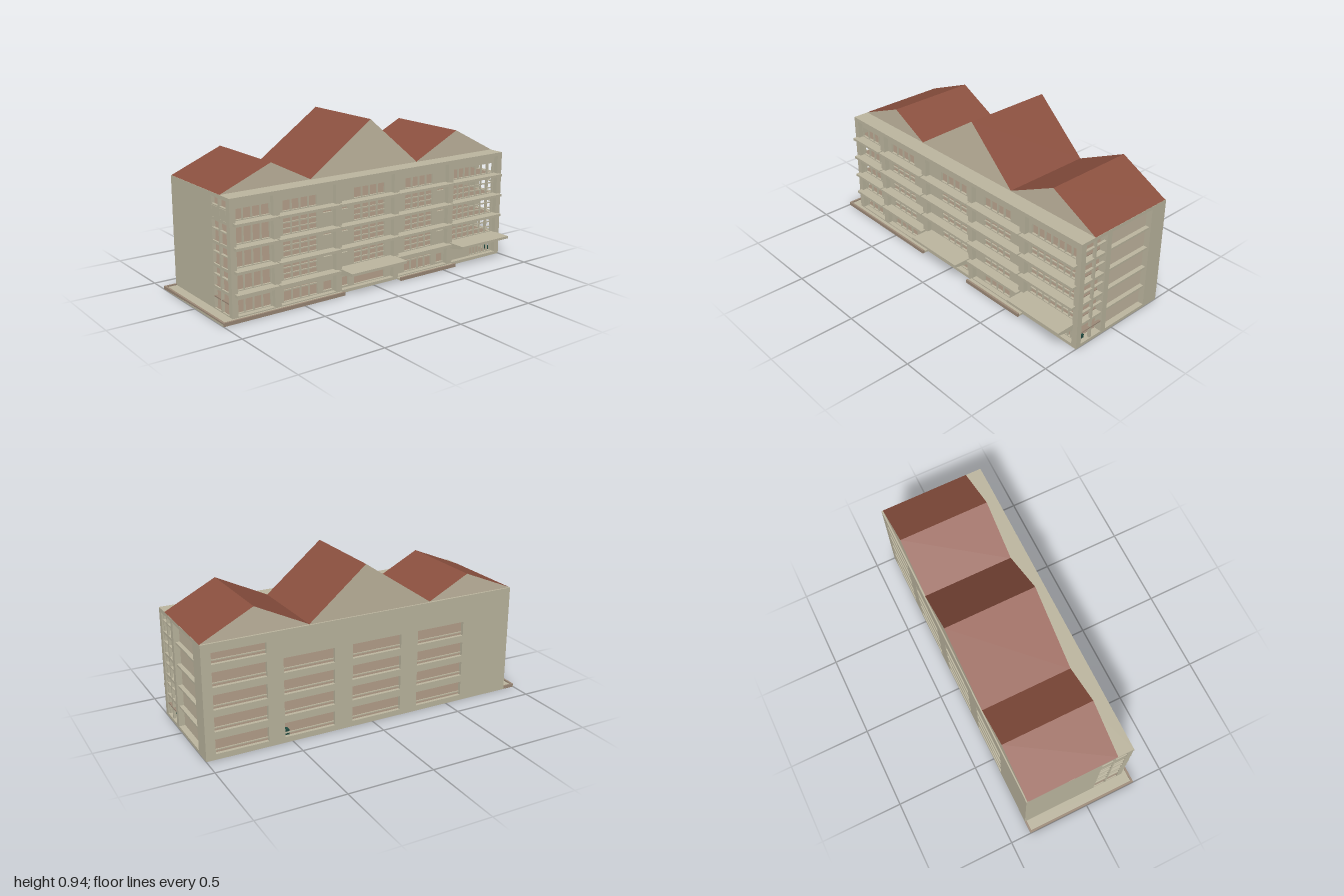
import * as THREE from 'three';

const mat = (name, color, side = THREE.FrontSide) => {
  const m = new THREE.MeshStandardMaterial({ color, side });
  m.name = name;
  return m;
};

export function createModel() {
  const model = new THREE.Group();
  model.name = 'terracedBuilding';
  const stone = mat('stone', 0xbdb7a0);
  const plaster = mat('plaster', 0xc3b8a1, THREE.DoubleSide);
  const tile = mat('roofTile', 0x8b503f, THREE.DoubleSide);
  const wood = mat('woodFloor', 0x9d8a78);
  const green = mat('darkGreen', 0x1f4a40);

  const add = (name, geo, m, parent = model) => {
    const mesh = new THREE.Mesh(geo, m);
    mesh.name = name;
    parent.add(mesh);
    return mesh;
  };
  const group = (name) => {
    const g = new THREE.Group();
    g.name = name;
    model.add(g);
    return g;
  };
  // Box given by its two extents on each axis
  const box = (name, x0, x1, y0, y1, z0, z1, m = stone, parent = model) => {
    const g = new THREE.BoxGeometry(x1 - x0, y1 - y0, z1 - z0);
    g.translate((x0 + x1) / 2, (y0 + y1) / 2, (z0 + z1) / 2);
    return add(name, g, m, parent);
  };
  // Upright wall in the xy plane with rectangular holes [x0, x1, y0, y1]
  const wall = (name, x0, x1, y0, y1, z0, z1, holes, parent = model) => {
    const rect = (C, a, b, c, d) => {
      const p = new C();
      p.moveTo(a, c); p.lineTo(b, c); p.lineTo(b, d); p.lineTo(a, d); p.closePath();
      return p;
    };
    const s = rect(THREE.Shape, x0, x1, y0, y1);
    s.holes = holes.map((h) => rect(THREE.Path, ...h));
    const g = new THREE.ExtrudeGeometry(s, { depth: z1 - z0, bevelEnabled: false });
    g.translate(0, 0, z0);
    return add(name, g, stone, parent);
  };

  const L = -0.925, R = 1, BACK = -0.375, TOP = 0.655;
  const floors = [0.018, 0.145, 0.27, 0.397, 0.525];
  // Front bays: extents, main window extents, pane count, small side windows
  const bays = [
    { x: [-0.89, -0.665], w: [-0.885, -0.67], n: 3, s: [] },
    { x: [-0.625, -0.265], w: [-0.59, -0.37], n: 3, s: [[-0.33, -0.27]] },
    { x: [-0.225, 0.145], w: [-0.12, 0.1], n: 3, s: [[-0.215, -0.16]] },
    { x: [0.18, 0.56], w: [0.25, 0.46], n: 3, s: [[0.5, 0.555]] },
    { x: [0.6, 0.965], w: [0.62, 0.955], n: 6, s: [] },
  ];

  // Foundation, side yard and front terraces with raised curbs
  const base = group('base');
  box('foundation', L, R, 0, 0.018, BACK, 0.275, stone, base);
  box('sideYard', -1, L, 0, 0.012, BACK, 0.31, stone, base);
  box('sideCurb', -1, -0.988, 0, 0.02, BACK, 0.315, wood, base);
  box('backCurb', -0.988, L, 0, 0.02, BACK, -0.365, wood, base);
  for (const [a, b] of [[-0.988, -0.23], [0.17, 0.6]]) {
    box('terrace', a, b, 0, 0.012, 0.275, 0.305, stone, base);
    box('terraceCurb', a, b, 0, 0.02, 0.303, 0.315, wood, base);
  }

  // Interior floors with wooden boards
  const inside = group('floors');
  floors.forEach((y, i) => {
    if (i) box('slab', L + 0.01, R - 0.01, y - 0.015, y - 0.003, BACK + 0.02, 0.24, stone, inside);
    box('boards', L + 0.01, R - 0.045, y - 0.003, y + 0.001, BACK + 0.02, 0.24, wood, inside);
  });
  box('roofDeck', L, R, 0.635, TOP, BACK, 0.275);

  // Front facade: recessed wall with windows
  const front = group('frontFacade');
  const holes = [];
  floors.forEach((y, f) => {
    bays.forEach(({ w, n, s }, b) => {
      const top = f === 4 ? 0.588 : y + (f ? 0.102 : 0.077);
      const open = f === 0 && b === 2;
      let [a, c] = w;
      if (f === 0 && b === 4) a = 0.78;
      const lo = y + 0.004, hi = open ? 0.12 : top;
      holes.push([a, c, lo, hi]);
      // Mullions and transom
      if (!open) {
        for (let k = 1; k <= n; k++) {
          const x = a + ((c - a) * k) / (n + 1);
          box('mullion', x - 0.004, x + 0.004, lo, hi, 0.234, 0.243, stone, front);
        }
      }
      if (b) box('transom', a, c, y + 0.062, y + 0.069, 0.234, 0.242, stone, front);
      if (b && f && f < 4) box('windowRail', a, c, y + 0.03, y + 0.036, 0.234, 0.242, stone, front);
      if (f < 4) {
        s.forEach(([p, q]) => holes.push([p, q, f ? y + 0.08 : y + 0.01, f ? y + 0.1 : y + 0.065]));
      }
    });
  });
  wall('windowWall', L + 0.01, R - 0.01, 0.01, 0.645, 0.232, 0.245, holes, front);

  // Pillars between bays
  const edges = [L, ...bays.flatMap((b) => b.x), R];
  for (let i = 0; i < edges.length; i += 2) {
    box('pillar', edges[i], edges[i + 1], 0, 0.636, 0.24, 0.275, stone, front);
  }

  // Ledges over each storey, and deep tapered canopies over the entrances
  bays.forEach(({ x: [a, b] }, i) => {
    floors.slice(1).forEach((y, f) => {
      if (f === 0 && (i === 2 || i === 4)) return;
      box('ledge', a - 0.018, b + 0.014, y - 0.016, y - 0.001, 0.24, 0.305, stone, front);
      box('ledgeBeam', a, b, y - 0.03, y - 0.016, 0.24, 0.258, stone, front);
    });
  });
  for (const [a, b] of [[-0.235, 0.155], [0.585, 0.97]]) {
    const s = new THREE.Shape([[0.24, 0.108], [0.275, 0.108], [0.385, 0.13], [0.385, 0.145], [0.24, 0.145]]
      .map(([z, y]) => new THREE.Vector2(-z, y)));
    const g = new THREE.ExtrudeGeometry(s, { depth: b - a, bevelEnabled: false });
    g.rotateY(Math.PI / 2);
    g.translate(a, 0, 0);
    add('entranceCanopy', g, stone, front);
  }

  // Back wall with ribbon windows
  const back = group('backFacade');
  const backHoles = [];
  [[-0.6, -0.29], [-0.18, 0.13], [0.24, 0.545], [0.64, 0.945]].forEach(([a, b], c) => {
    floors.forEach((y, f) => {
      if (f === 4 && c < 3) return;
      const lo = y + 0.015, hi = f === 4 ? 0.605 : y + 0.1;
      backHoles.push([a, b, lo, hi]);
      box('windowBar', a, b, lo + 0.015, lo + 0.021, BACK + 0.012, BACK + 0.019, stone, back);
    });
  });
  wall('backWall', L, R, 0, 0.64, BACK, BACK + 0.02, backHoles, back);

  // End walls: solid at the back, open stairwell strip at the front
  const ends = group('endWalls');
  box('leftEndPanel', R - 0.045, R - 0.035, 0, 0.64, -0.27, 0.055, plaster, ends);
  box('leftEndFront', R - 0.045, R, 0, 0.636, 0.05, 0.085, stone, ends);
  box('leftEndBack', R - 0.045, R, 0, 0.636, BACK, -0.265, stone, ends);
  box('rightEndWall', L, L + 0.02, 0, 0.636, BACK, 0.085, stone, ends);
  for (const [a, b] of [[L, L + 0.015], [R - 0.02, R - 0.005]]) {
    box('endPost', a, b, 0.018, 0.636, 0.156, 0.169, stone, ends);
    floors.forEach((y, f) => {
      box('endTransom', a, b, y + 0.062, y + 0.069, 0.085, 0.24, f ? stone : wood, ends);
      if (f) box('endBeam', a, b, y - 0.016, y, 0.085, 0.24, stone, ends);
    });
  }
  // Low panels at the top storey
  box('topPanel', L + 0.001, L + 0.009, 0.525, 0.585, 0.085, 0.236, stone, ends);

  // Small dark green cabinets on the ground floor
  box('cabinet', 0.5, 0.55, 0.02, 0.052, -0.33, -0.3, green);
  box('cornerCabinet', 0.955, 0.975, 0.02, 0.04, 0.19, 0.22, green);

  // Gabled roofs: x and y of left eave, ridge and right eave, then z extents
  const roofs = group('roofs');
  const faces = (name, tris, m) => {
    const g = new THREE.BufferGeometry();
    g.setAttribute('position', new THREE.Float32BufferAttribute(tris.flat(), 3));
    g.computeVertexNormals();
    add(name, g, m, roofs);
  };
  const gable = (a, p, b, zf, zb, ridgeF = zf, ridgeB = zb) => {
    const [af, ab] = [[...a, zf], [...a, zb]];
    const [pf, pb] = [[...p, ridgeF], [...p, ridgeB]];
    const [bf, bb] = [[...b, zf], [...b, zb]];
    faces('roofSlopes', [af, pf, pb, af, pb, ab, pf, bf, bb, pf, bb, pb], tile);
    faces('gableEnds', [af, bf, pf, bb, ab, pb], plaster);
  };
  gable([L, 0.656], [-0.615, 0.785], [-0.365, 0.658], 0.178, -0.368);
  gable([-0.37, 0.656], [0.055, 0.943], [0.39, 0.656], 0.178, -0.368, 0.163, -0.38);
  gable([0.385, 0.656], [0.7, 0.81], [R, 0.656], 0.178, -0.366);

  return model;
}
